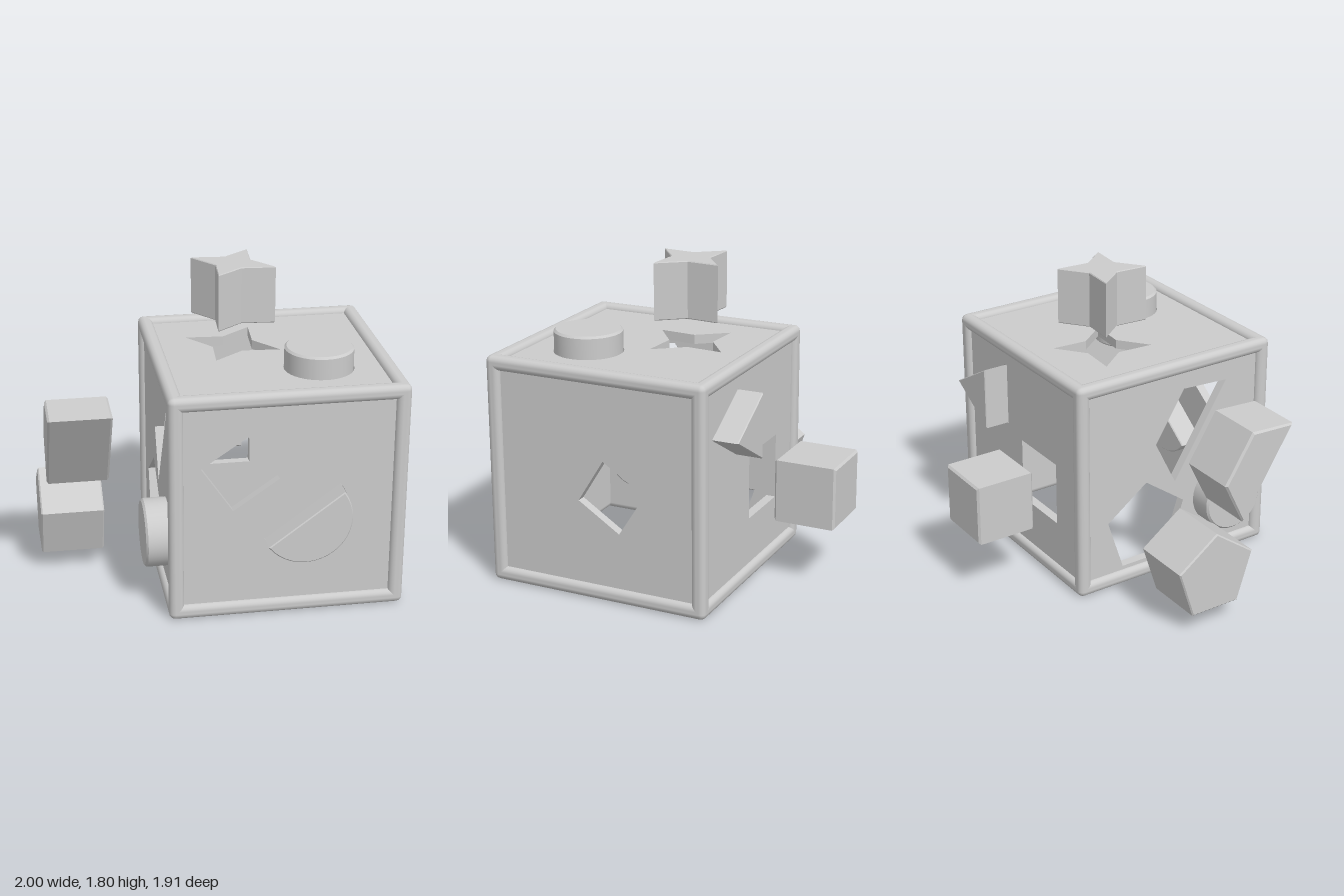
import * as THREE from 'three';
import { toCreasedNormals } from 'three/addons/utils/BufferGeometryUtils.js';
import { RoundedBoxGeometry } from 'three/addons/geometries/RoundedBoxGeometry.js';

const SIZE = 1.34;                                  // outer cube edge
const MIN = { x: -0.34, y: 0, z: -0.47 };           // cube corner
const BAR = 0.085, RECESS = 0.03, THICK = 0.055;
const material = new THREE.MeshStandardMaterial({ color: 0xcccccc });

// Outlines use the plane's own coordinates: (x, y) for z, (z, y) for x, (x, z) for y.
const regular = (n, cx, cy, r, start = 0, r2 = r) =>
  Array.from({ length: n }, (_, i) => {
    const a = start + (i / n) * Math.PI * 2, rr = i % 2 ? r2 : r;
    return [cx + rr * Math.cos(a), cy + rr * Math.sin(a)];
  });
const halfDisc = (cx, cy, r, start, n = 20) =>
  Array.from({ length: n + 1 }, (_, i) => {
    const a = start + (i / n) * Math.PI;
    return [cx + r * Math.cos(a), cy + r * Math.sin(a)];
  });
const grow = (pts, s) => {
  const cx = pts.reduce((t, p) => t + p[0], 0) / pts.length;
  const cy = pts.reduce((t, p) => t + p[1], 0) / pts.length;
  return pts.map(([x, y]) => [cx + (x - cx) * s, cy + (y - cy) * s]);
};
const toVectors = (pts) => pts.map(([x, y]) => new THREE.Vector2(x, y));

// Solid with the given outline, reaching from lo to hi along an axis.
function prism(name, pts, axis, lo, hi, bevel = 0, holes = []) {
  const shape = new THREE.Shape(toVectors(pts));
  holes.forEach((h) => shape.holes.push(new THREE.Path(toVectors(h))));
  const geo = new THREE.ExtrudeGeometry(shape, {
    depth: hi - lo - 2 * bevel, bevelEnabled: bevel > 0, bevelThickness: bevel,
    bevelSize: bevel, bevelOffset: -bevel, bevelSegments: 1,
  });
  geo.translate(0, 0, bevel);
  if (axis === 'x') geo.rotateY(-Math.PI / 2).translate(hi, 0, 0);
  else if (axis === 'y') geo.rotateX(Math.PI / 2).translate(0, hi, 0);
  else geo.translate(0, 0, lo);
  const mesh = new THREE.Mesh(toCreasedNormals(geo, 0.5), material);
  mesh.name = name;
  return mesh;
}

// Recessed wall on the low or high side of an axis.
function panel(name, axis, high, holes) {
  const [u, v] = { x: ['z', 'y'], y: ['x', 'z'], z: ['x', 'y'] }[axis];
  const a = 0.05, b = SIZE - 0.05;
  const pts = [[a, a], [b, a], [b, b], [a, b]].map(([p, q]) => [MIN[u] + p, MIN[v] + q]);
  const lo = MIN[axis] + (high ? SIZE - RECESS - THICK : RECESS);
  return prism(name, pts, axis, lo, lo + THICK, 0, holes);
}

// Twelve rounded bars along the cube's edges.
function frame() {
  const group = new THREE.Group();
  group.name = 'frame';
  const axes = ['x', 'y', 'z'];
  axes.forEach((axis) => {
    const [u, v] = axes.filter((k) => k !== axis);
    const dims = axes.map((k) => (k === axis ? SIZE : BAR));
    const geo = new RoundedBoxGeometry(...dims, 2, 0.035);
    for (const i of [0, 1]) for (const j of [0, 1]) {
      const bar = new THREE.Mesh(geo, material);
      bar.name = 'edgeBar';
      bar.position[axis] = MIN[axis] + SIZE / 2;
      bar.position[u] = MIN[u] + (i ? SIZE - BAR / 2 : BAR / 2);
      bar.position[v] = MIN[v] + (j ? SIZE - BAR / 2 : BAR / 2);
      group.add(bar);
    }
  });
  return group;
}

export function createModel() {
  const model = new THREE.Group();
  model.name = 'shapeSorter';

  const star = regular(8, 0.157, 0.012, 0.255, 0.495, 0.112);
  const topDisc = regular(40, 0.57, 0.45, 0.195);
  const sideDisc = regular(40, 0.55, 0.405, 0.195);
  const half = halfDisc(0.41, 0.615, 0.26, Math.PI + 0.635);
  const triangle = [[0.5, 0.8], [0.83, 0.99], [0.5, 1.18]];
  const square = [[-0.03, 0.37], [0.33, 0.37], [0.33, 0.735], [-0.03, 0.735]];
  const pentagon = regular(5, 0.01, 0.335, 0.265, Math.PI / 2);
  const trapezoid = [[0.55, 1.12], [0.27, 1.135], [0.09, 0.85], [0.22, 0.59]];
  const frontHole = [[-0.16, 0.91], [0.02, 0.645], [0.28, 0.825], [0.1, 1.085]];
  const sideHole = [[0.155, 0.82], [-0.1, 0.66], [0.06, 0.41], [0.31, 0.57]];

  // Walls; the underside stays open
  model.add(
    frame(),
    panel('topPanel', 'y', true, [grow(star, 1.13), grow(topDisc, 1.02)]),
    panel('frontPanel', 'z', true, [frontHole, grow(half, 1.01)]),
    panel('backPanel', 'z', false, [grow(square, 1.06), grow(triangle, 1.03)]),
    panel('leftPanel', 'x', true, [sideHole]),
    panel('rightPanel', 'x', false,
      [grow(trapezoid, 1.08), grow(pentagon, 1.06), grow(sideDisc, 1.02)]),
  );

  // Blocks, some floating before their holes and some pushed in
  const B = 0.012;
  model.add(
    prism('starBlock', star, 'y', 1.47, 1.805, 0.005),
    prism('topRoundBlock', topDisc, 'y', 1.13, 1.44, B),
    prism('sideRoundBlock', sideDisc, 'x', -0.45, -0.16, B),
    prism('halfRoundBlock', half, 'z', 0.64, 0.955, 0.006),
    prism('triangleBlock', triangle, 'z', -0.59, -0.26, 0.006),
    prism('cubeBlock', square, 'z', -0.955, -0.59, B),
    prism('pentagonBlock', pentagon, 'x', -1, -0.635, 0.008),
    prism('trapezoidBlock', trapezoid, 'x', -0.96, -0.6, B),
  );
  return model;
}
